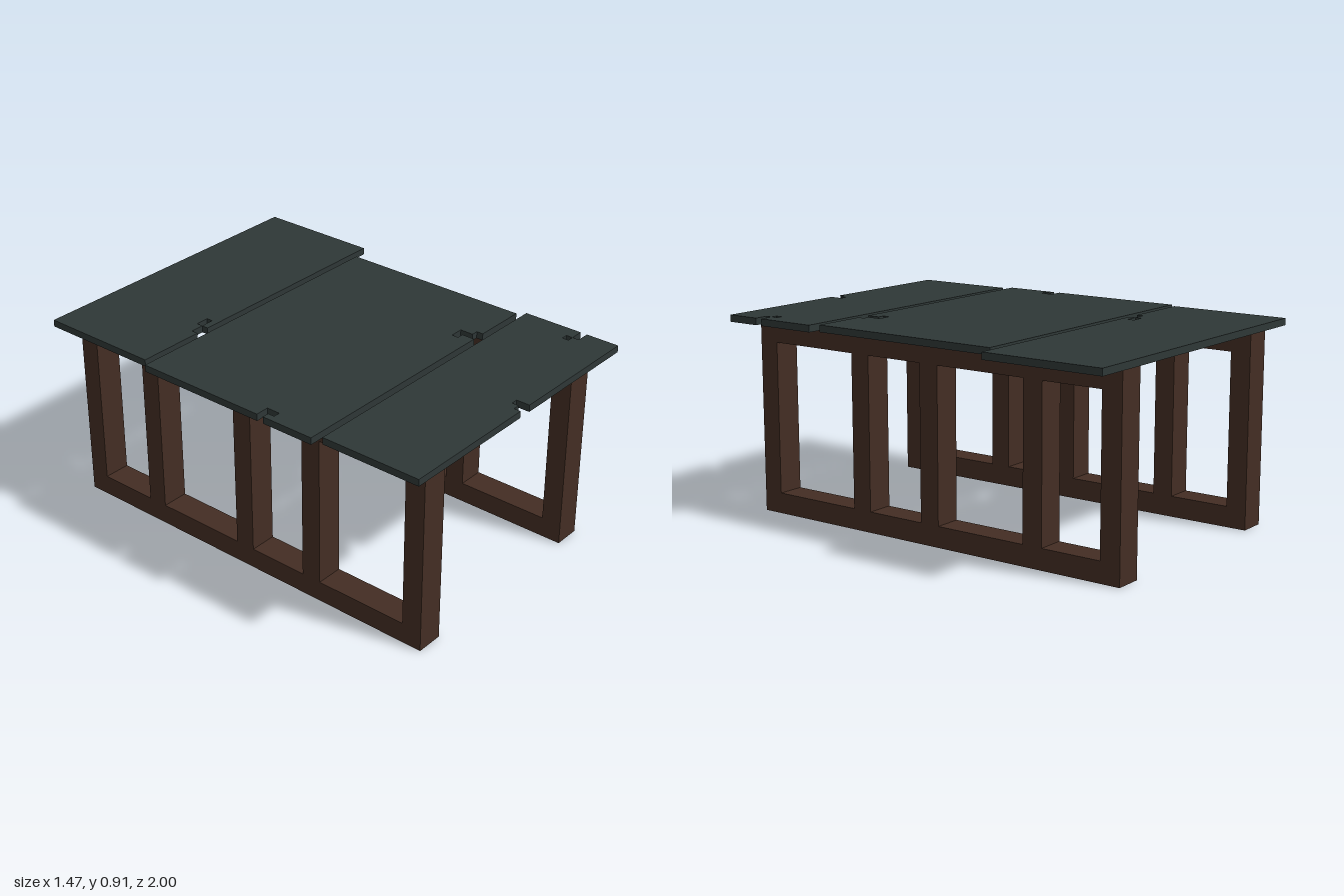
import * as THREE from 'three';

const U = 1 / 32; // grid unit all sizes are given in

// Closed path from a flat list of grid coordinates
function trace(path, pts) {
  for (let i = 0; i < pts.length; i += 2) {
    if (i === 0) path.moveTo(pts[i] * U, pts[i + 1] * U);
    else path.lineTo(pts[i] * U, pts[i + 1] * U);
  }
  path.closePath();
  return path;
}
const rect = (x0, y0, x1, y1) => [x0, y0, x1, y0, x1, y1, x0, y1];

function plate(outline, holes, depth) {
  const shape = trace(new THREE.Shape(), outline);
  shape.holes = holes.map((h) => trace(new THREE.Path(), h));
  return new THREE.ExtrudeGeometry(shape, { depth: depth * U, bevelEnabled: false });
}

export function createModel() {
  const model = new THREE.Group();
  model.name = 'table';

  const wood = new THREE.MeshStandardMaterial({ color: 0x432d23 });
  wood.name = 'brown wood';
  const slate = new THREE.MeshStandardMaterial({ color: 0x2e3736 });
  slate.name = 'dark slate';

  // Side frames: two rails joined by five posts
  const openings = [[-28, -19], [-16, -2], [1, 10], [13, 27]];
  for (const [name, x] of [['leftFrame', 17.5], ['rightFrame', -14.5]]) {
    const geo = plate(rect(-31, 0, 30, 28), openings.map(([a, b]) => rect(a, 3, b, 25)), 4);
    geo.rotateY(-Math.PI / 2);
    const frame = new THREE.Mesh(geo, wood);
    frame.name = name;
    frame.position.x = x * U;
    model.add(frame);
  }

  // Top boards with chipped notches, outlines in x and z
  const e = 0.02; // keeps chip holes just clear of the notch corners
  const boards = [
    ['backBoard',
      [-22.5, -32, 23.5, -32, 23.5, -14, -10.5, -14, -10.5, -15, -12.5, -15, -12.5, -14, -22.5, -14],
      [rect(-10.5 + e, -16, -8.5, -15 - e)]],
    ['middleBoard',
      [-23.5, -13, 20.5, -13, 20.5, 16,
        12.5, 16, 12.5, 15, 11.5, 15, 11.5, 13, 9.5, 13, 9.5, 14, 10.5, 14, 10.5, 16,
        -23.5, 16, -23.5, 8, -22.5, 8, -22.5, 9, -21.5, 9, -21.5, 7, -23.5, 7],
      []],
    ['frontBoard',
      [-22.5, 17, 21.5, 17, 21.5, 26, 19.5, 26, 19.5, 27, 21.5, 27, 21.5, 32,
        0.5, 32, 0.5, 30, -0.5, 30, -0.5, 31, -1.5, 31, -1.5, 32, -22.5, 32],
      [rect(18.5, 25, 19.5 - e, 26 - e)]],
  ];
  for (const [name, outline, holes] of boards) {
    const geo = plate(outline, holes, 1);
    geo.rotateX(Math.PI / 2);
    const board = new THREE.Mesh(geo, slate);
    board.name = name;
    board.position.y = 29 * U;
    model.add(board);
  }

  return model;
}
